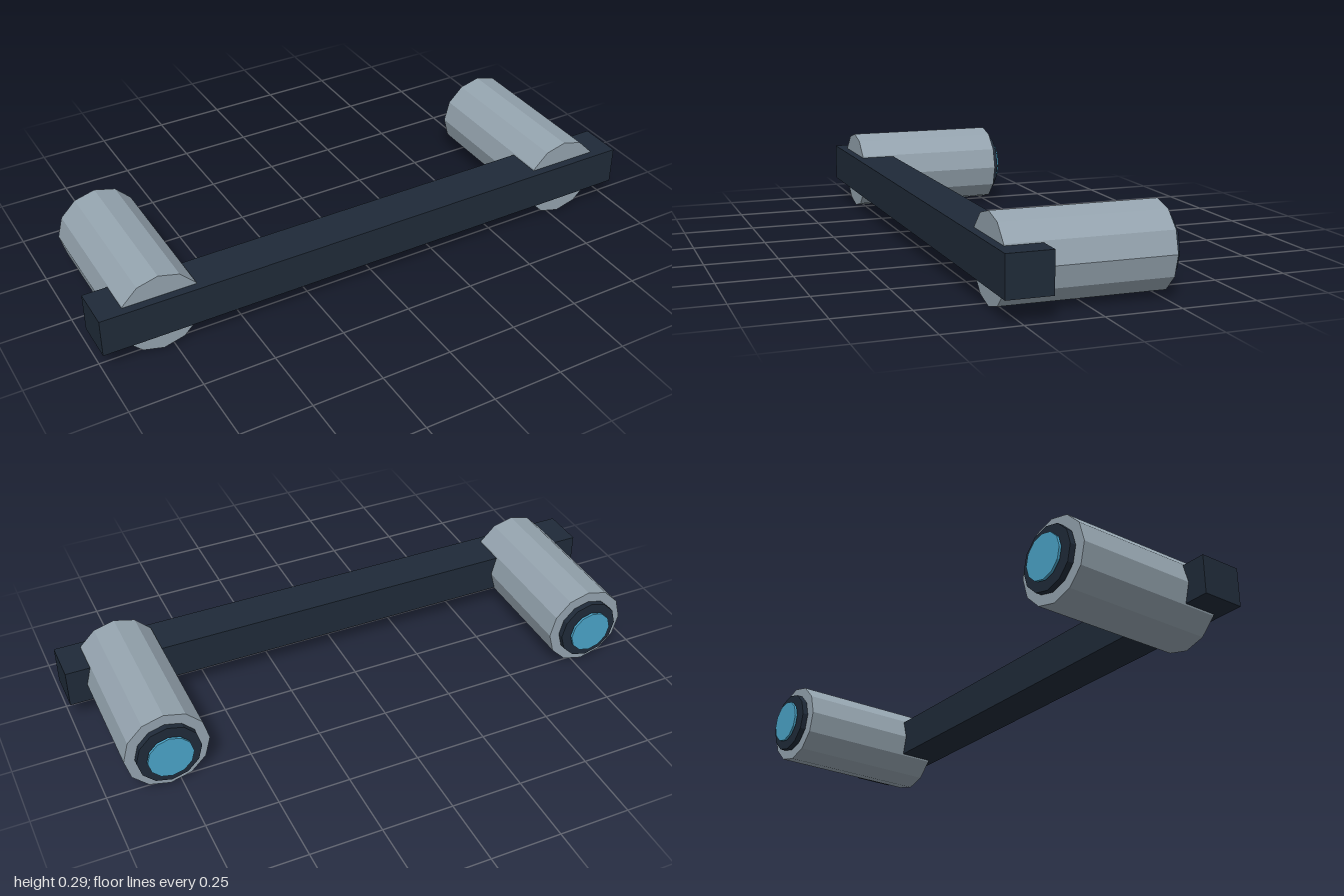
import * as THREE from 'three';

export function createModel() {
  const model = new THREE.Group();
  const paint = (name, color) => {
    const m = new THREE.MeshStandardMaterial({ color, flatShading: true });
    m.name = name;
    return m;
  };
  const darkNavy = paint('dark navy', 0x1f2a38);
  const steelGrey = paint('steel grey', 0x94a3ae);
  const lensBlue = paint('lens blue', 0x4aa3c7);
  const AXIS_Y = 0.146;

  // crossbar joining the two pods
  const bar = new THREE.Mesh(new THREE.BoxGeometry(2, 0.135, 0.151), darkNavy);
  bar.name = 'crossbar';
  bar.position.set(0, AXIS_Y, 0.2325);
  model.add(bar);

  // twelve-sided drum lying along z between two depths
  const drum = (name, radius, zFront, zBack, material) => {
    const geo = new THREE.CylinderGeometry(radius, radius, zFront - zBack, 12);
    geo.rotateX(Math.PI / 2);
    const mesh = new THREE.Mesh(geo, material);
    mesh.name = name;
    mesh.position.z = (zFront + zBack) / 2;
    return mesh;
  };

  // one pod at each end: body, dark collar and blue lens facing back
  for (const [name, side] of [['leftPod', 1], ['rightPod', -1]]) {
    const pod = new THREE.Group();
    pod.name = name;
    pod.position.set(side * 0.787, AXIS_Y, 0);
    pod.add(
      drum('podBody', 0.145, 0.279, -0.268, steelGrey),
      drum('collar', 0.11, -0.271, -0.292, darkNavy),
      drum('lens', 0.078, -0.299, -0.308, lensBlue)
    );
    model.add(pod);
  }
  return model;
}
